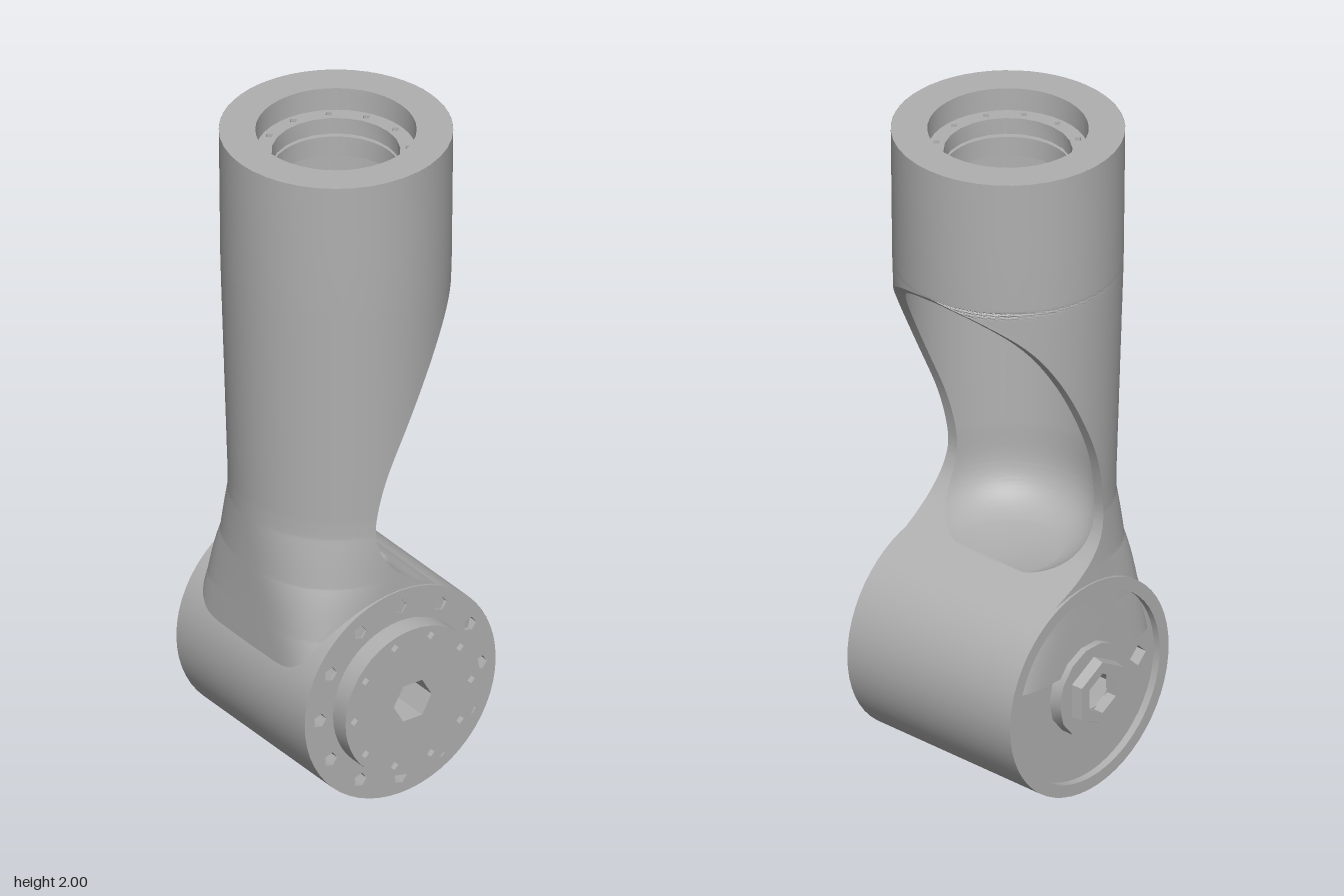
import * as THREE from 'three';
import { toCreasedNormals } from 'three/addons/utils/BufferGeometryUtils.js';

const metal = new THREE.MeshStandardMaterial({ color: 0xb0b0b0, side: THREE.DoubleSide });
metal.name = 'grey metal';

const TAU = Math.PI * 2;
const JOINT_Y = 0.327;

function part(name, geometry, parent, crease = 0.6) {
  const mesh = new THREE.Mesh(toCreasedNormals(geometry, crease), metal);
  mesh.name = name;
  parent.add(mesh);
  return mesh;
}

// Surface through equal-length rows of [x, y, z] points
function skin(rows, flip = false) {
  const n = rows[0].length;
  const index = [];
  for (let i = 0; i < rows.length - 1; i++) {
    for (let j = 0; j < n - 1; j++) {
      const a = i * n + j, b = a + 1, c = a + n, d = c + 1;
      if (flip) index.push(a, c, b, b, c, d);
      else index.push(a, b, c, b, d, c);
    }
  }
  const g = new THREE.BufferGeometry();
  g.setAttribute('position', new THREE.Float32BufferAttribute(rows.flat(2), 3));
  g.setIndex(index);
  return g;
}

// Linear interpolation in a short table of [y, value], y falling
function lookup(table, y) {
  for (let i = 0; i < table.length - 1; i++) {
    const [y0, v0] = table[i], [y1, v1] = table[i + 1];
    if (y >= y1) return v0 + (v1 - v0) * Math.min(1, Math.max(0, (y0 - y) / (y0 - y1)));
  }
  return table[table.length - 1][1];
}

// Disc with round holes given as [x, y, radius, sides]
function drilledDisc(radius, depth, holes, sides = 48) {
  const circle = (Type, x, y, r, n) => {
    const pts = [];
    for (let i = 0; i < n; i++) {
      const t = (i / n) * TAU;
      pts.push(new THREE.Vector2(x + r * Math.cos(t), y + r * Math.sin(t)));
    }
    return new Type(pts);
  };
  const shape = circle(THREE.Shape, 0, 0, radius, sides);
  shape.holes = holes.map((h) => circle(THREE.Path, ...h));
  return new THREE.ExtrudeGeometry(shape, { depth, bevelEnabled: false });
}

const holeRing = (count, ring, r, sides) => Array.from({ length: count }, (_, i) => {
  const t = (i / count) * TAU;
  return [ring * Math.cos(t), ring * Math.sin(t), r, sides];
});

const lathe = (pts, sides) => new THREE.LatheGeometry(pts.map(([r, y]) => new THREE.Vector2(r, y)), sides);

function buildArm(parent) {
  const radiusTable = [[2, 0.327], [1.6, 0.323], [1.2, 0.311], [0.9, 0.302], [0.6, 0.303], [0.33, 0.306]];
  const squareness = [[0.85, 2], [0.7, 2.5], [0.55, 4], [0.33, 8]];
  const FLOOR = 0.655;

  // Side profile of the scooped opening, as (x, y)
  const cut = new THREE.SplineCurve([
    [0.34, 1.6], [0.2, 1.47], [0.1, 1.325], [0, 1.13], [-0.05, 1.0], [-0.073, 0.87], [-0.06, 0.79],
    [-0.02, 0.73], [0.04, 0.68], [0.12, 0.633], [0.2, 0.575], [0.25, 0.51], [0.28, 0.4],
  ].map((p) => new THREE.Vector2(...p))).getPoints(160);
  const levels = [new THREE.Vector2(1, 2), new THREE.Vector2(1, 1.8), ...cut];

  const inner = (y) => {
    const t = Math.min(1, Math.max(0, (0.86 - y) / 0.215));
    return (lookup(radiusTable, y) - 0.033) * Math.cbrt(1 - t ** 3);
  };
  // Cross-section arc, left open where the cut removes it
  const arc = (r, c, y, n) => {
    const k = Math.max(-1, Math.min(1, c / r));
    const a = Math.acos(Math.sign(k) * Math.abs(k) ** (n / 2));
    const row = [];
    for (let j = 0; j <= 56; j++) {
      const t = a + (TAU - 2 * a) * (j / 56);
      const co = Math.cos(t), si = Math.sin(t);
      row.push([r * Math.sign(co) * Math.abs(co) ** (2 / n), y, r * Math.sign(si) * Math.abs(si) ** (2 / n)]);
    }
    return row;
  };

  const outerRows = levels.map((p) => arc(lookup(radiusTable, p.y), p.x, p.y, lookup(squareness, p.y)));
  part('armShell', skin(outerRows), parent);

  const cavity = levels.slice(1).filter((p) => p.y >= FLOOR);
  const innerRows = cavity.map((p) => arc(inner(p.y), p.x, p.y, 2));
  const last = cavity[cavity.length - 1];
  innerRows.push(innerRows[0].map(() => [last.x, last.y, 0]));
  part('armCavity', skin(innerRows, true), parent, 0.9);

  // Rim between the outer and inner walls along the opening
  for (const side of [1, -1]) {
    const rows = [];
    levels.forEach((p, i) => {
      if (i < 2) return;
      const [x, y, z] = outerRows[i][0];
      const r = p.y >= FLOOR ? inner(p.y) : 0;
      const zi = Math.sqrt(Math.max(0, r * r - p.x * p.x));
      rows.push([[x, y, side * Math.abs(z)], [Math.min(x, p.x), y, side * Math.min(Math.abs(z), zi)]]);
    });
    part('openingRim', skin(rows, side < 0), parent);
  }

  // Thick collar and bolt ledge in the open top
  part('topCollar', lathe([[0.293, 1.8], [0.18, 1.81], [0.18, 1.87], [0.225, 1.87], [0.225, 2], [0.327, 2]], 40), parent);
  const ledge = part('topLedge', drilledDisc(0.226, 0.05,
    [[0, 0, 0.18, 24], ...holeRing(12, 0.204, 0.012, 4)], 40), parent);
  ledge.rotation.x = -Math.PI / 2;
  ledge.position.y = 1.88;
}

function buildJoint(parent) {
  const bore = [0, 0, 0.065, 6];

  // Barrel wall with a recessed back end
  const barrel = part('jointBarrel', lathe([
    [0.29, -0.26], [0.29, -0.3075], [0.327, -0.3075], [0.327, 0.3075],
  ], 56), parent);
  barrel.rotation.x = Math.PI / 2;

  const front = part('frontPlate', drilledDisc(0.3269, 0.05, [bore, ...holeRing(12, 0.275, 0.022, 5)], 56), parent);
  front.position.z = 0.2575;
  const frontInner = part('frontBacking', drilledDisc(0.32, 0.01, [bore]), parent);
  frontInner.position.z = 0.245;

  const disc = part('outputDisc', drilledDisc(0.23, 0.06, [bore, ...holeRing(10, 0.2, 0.013, 4)]), parent);
  disc.position.z = 0.3075;

  const pockets = [30, 90, 180].map((deg) => {
    const t = THREE.MathUtils.degToRad(deg);
    return [0.225 * Math.cos(t), 0.225 * Math.sin(t), 0.033, 4];
  });
  const back = part('backPlate', drilledDisc(0.291, 0.05, [bore, ...pockets]), parent);
  back.position.z = -0.285;
  const backInner = part('backBacking', drilledDisc(0.3, 0.01, [bore]), parent);
  backInner.position.z = -0.23;

  // Bore tube, flange and hexagonal nut on the axle
  const tube = part('axleBore', new THREE.CylinderGeometry(0.066, 0.066, 0.62, 6, 1, true), parent);
  tube.rotation.set(Math.PI / 2, Math.PI / 6, 0);
  const flange = part('axleFlange', drilledDisc(0.14, 0.045, [bore], 14), parent);
  flange.position.z = -0.325;
  const nut = part('axleNut', lathe([[0.063, -0.32], [0.063, -0.3575], [0.098, -0.3575], [0.106, -0.32]], 6), parent, 0.3);
  nut.rotation.x = Math.PI / 2;
}

export function createModel() {
  const model = new THREE.Group();
  model.name = 'armLink';

  const arm = new THREE.Group();
  arm.name = 'arm';
  arm.position.z = -0.0075;
  buildArm(arm);

  const joint = new THREE.Group();
  joint.name = 'joint';
  joint.position.set(0, JOINT_Y, -0.0075);
  buildJoint(joint);

  model.add(arm, joint);
  return model;
}
